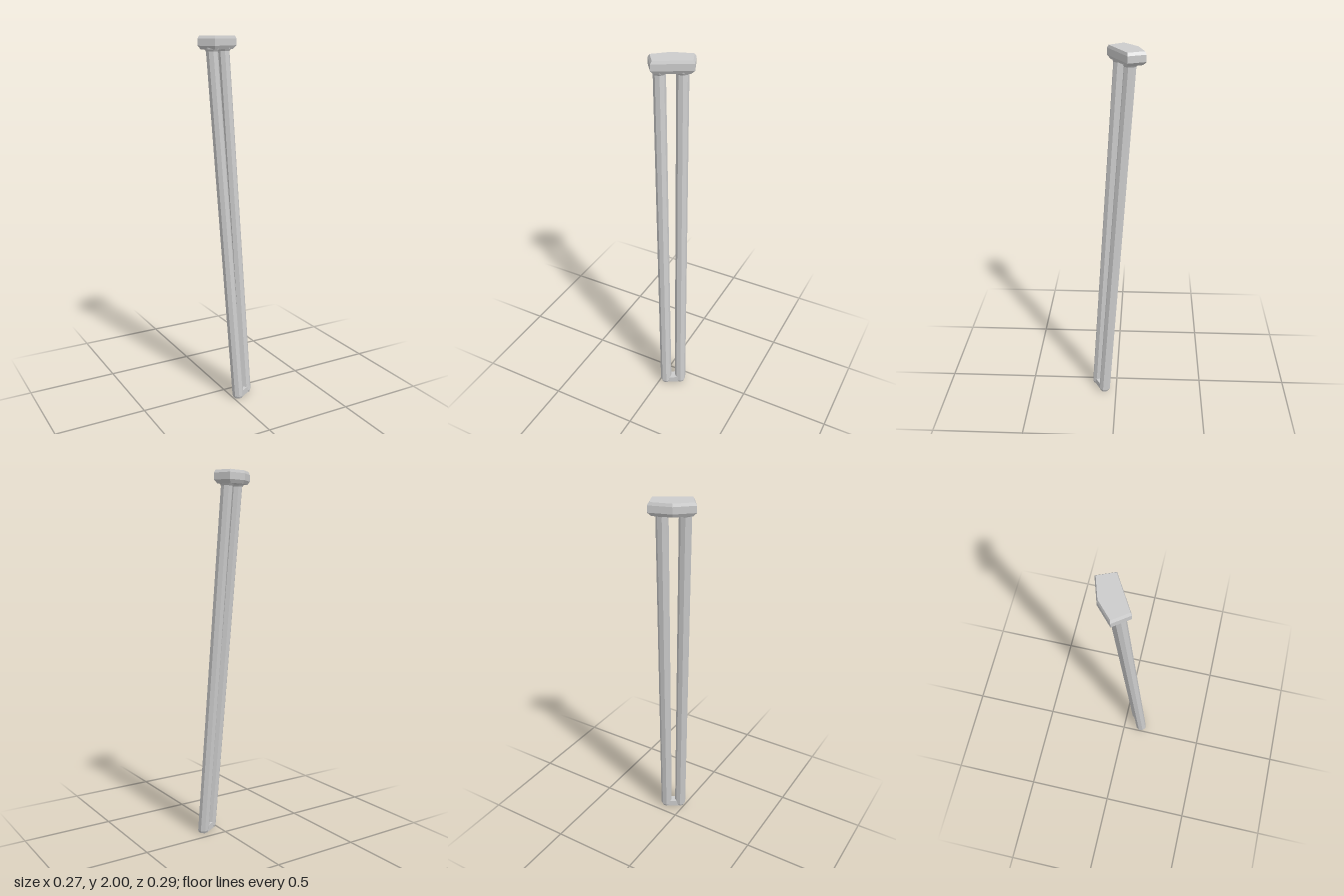
import * as THREE from 'three';

const material = new THREE.MeshStandardMaterial({ color: 0xcccccc, flatShading: true });

// Closed solid through horizontal rings, lowest first; ring points run from +x towards +z.
function loft(name, rings) {
  const pos = [];
  const tri = (...corners) => corners.forEach((c) => pos.push(c.x, c.y, c.z));
  const n = rings[0].length;
  for (let k = 0; k < rings.length - 1; k++) {
    const a = rings[k], b = rings[k + 1];
    for (let i = 0; i < n; i++) {
      const j = (i + 1) % n;
      tri(a[i], b[i], a[j]);
      tri(a[j], b[i], b[j]);
    }
  }
  const low = rings[0], high = rings[rings.length - 1];
  for (let i = 1; i < n - 1; i++) {
    tri(low[0], low[i], low[i + 1]);
    tri(high[0], high[i + 1], high[i]);
  }
  const geometry = new THREE.BufferGeometry();
  geometry.setAttribute('position', new THREE.Float32BufferAttribute(pos, 3));
  geometry.computeVertexNormals();
  const mesh = new THREE.Mesh(geometry, material);
  mesh.name = name;
  return mesh;
}

// Horizontal octagon around a centre
function octagon(c, radius) {
  return Array.from({ length: 8 }, (_, i) => {
    const t = THREE.MathUtils.degToRad(15 + i * 45);
    return new THREE.Vector3(c.x + radius * Math.cos(t), c.y, c.z + radius * Math.sin(t));
  });
}

// Leaning centre lines of the two posts: foot and head
const HEIGHT = 1.95;
const posts = [
  { side: 'right', foot: [0.032, 0.112], head: [-0.065, -0.012] },
  { side: 'left', foot: [0.105, 0.069], head: [0.033, -0.068] },
];

function axisPoint({ foot, head }, y) {
  const t = y / HEIGHT;
  return new THREE.Vector3(
    THREE.MathUtils.lerp(foot[0], head[0], t), y, THREE.MathUtils.lerp(foot[1], head[1], t));
}

export function createModel() {
  const group = new THREE.Group();
  group.name = 'doublePostLeg';

  // Octagonal posts with a bevelled foot, and a flared collar under the plate
  for (const post of posts) {
    const section = ([y, r]) => octagon(axisPoint(post, y), r);
    group.add(loft(post.side + 'Post', [[0, 0.026], [0.014, 0.032], [HEIGHT, 0.032]].map(section)));
    group.add(loft(post.side + 'Collar', [[1.922, 0.033], [1.932, 0.04], [1.955, 0.044]].map(section)));
  }

  // Five-sided mounting plate, chamfered above and below
  const outline = [[-0.137, -0.028], [-0.05, -0.108], [0.067, -0.145], [0.105, -0.055], [-0.079, 0.052]];
  const centre = [-0.018, -0.052];
  const plateRing = ([y, s]) => outline.map(([x, z]) => new THREE.Vector3(
    centre[0] + (x - centre[0]) * s, y, centre[1] + (z - centre[1]) * s));
  group.add(loft('topPlate', [[1.932, 0.84], [1.95, 1], [1.985, 1], [2, 0.92]].map(plateRing)));

  // Bridge joining the two feet
  const a = axisPoint(posts[0], 0.02), b = axisPoint(posts[1], 0.02);
  const bridge = new THREE.Mesh(new THREE.BoxGeometry(a.distanceTo(b), 0.036, 0.05), material);
  bridge.name = 'footBridge';
  bridge.position.addVectors(a, b).multiplyScalar(0.5);
  bridge.rotation.y = Math.atan2(a.z - b.z, b.x - a.x);
  group.add(bridge);

  return group;
}
